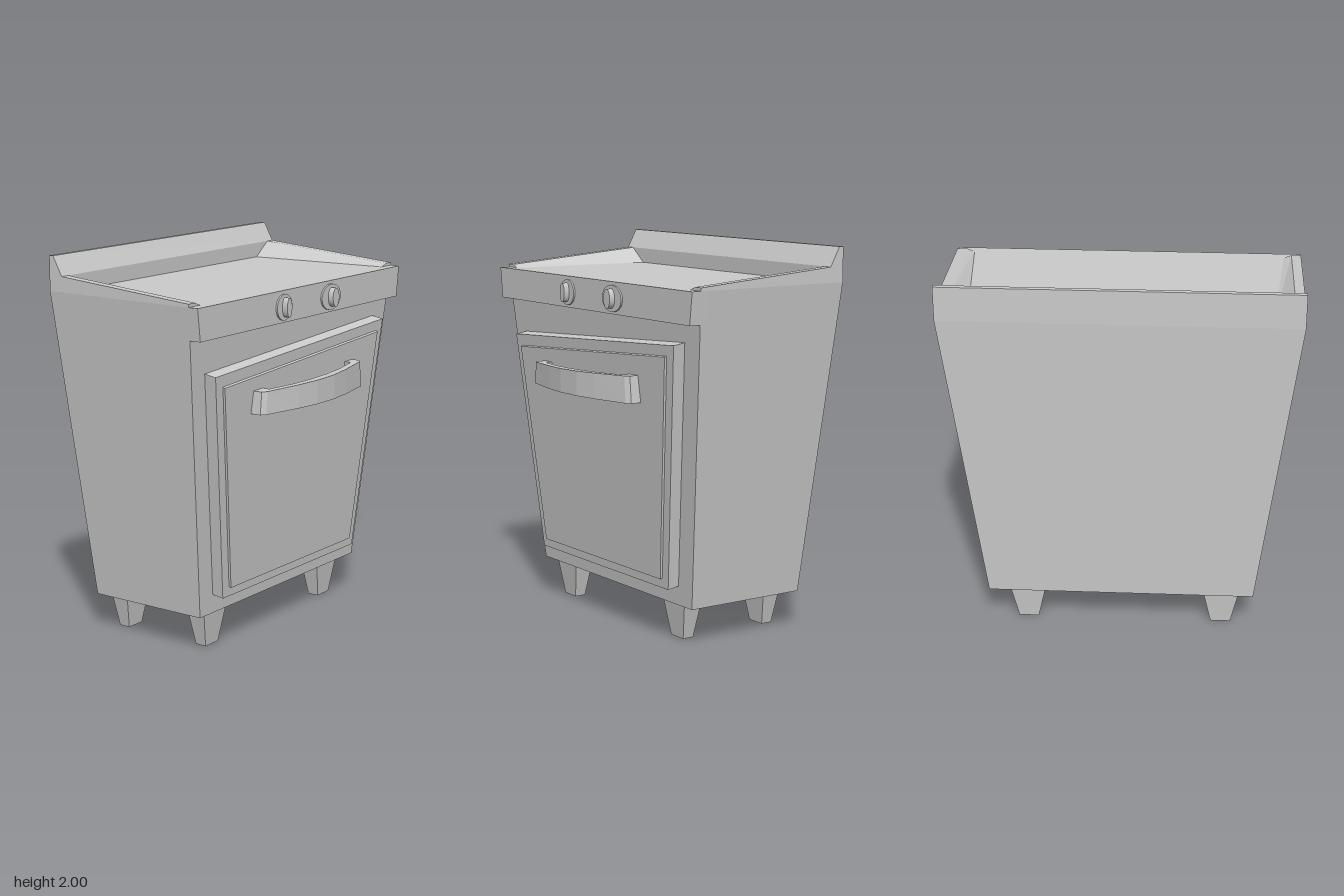
import * as THREE from 'three';

const grey = new THREE.MeshStandardMaterial({ color: 0xcccccc, flatShading: true });

// Solid between two matching outlines, each counterclockwise seen from the b side
function loft(a, b) {
  const pos = [], n = a.length;
  const tri = (...pts) => pts.forEach((p) => pos.push(...p));
  for (let i = 0; i < n; i++) {
    const j = (i + 1) % n;
    tri(a[i], a[j], b[j]);
    tri(a[i], b[j], b[i]);
  }
  for (let i = 1; i < n - 1; i++) {
    tri(a[0], a[i + 1], a[i]);
    tri(b[0], b[i], b[i + 1]);
  }
  const g = new THREE.BufferGeometry();
  g.setAttribute('position', new THREE.Float32BufferAttribute(pos, 3));
  g.computeVertexNormals();
  return g;
}

// Horizontal rectangle at height y
const rect = (y, x0, x1, z0, z1) => [[x0, y, z1], [x1, y, z1], [x1, y, z0], [x0, y, z0]];
const mirror = (pts) => pts.map(([x, y, z]) => [-x, y, z]).reverse();

export function createModel() {
  const model = new THREE.Group();
  model.name = 'oven';
  const add = (name, geometry) => {
    const mesh = new THREE.Mesh(geometry, grey);
    mesh.name = name;
    model.add(mesh);
    return mesh;
  };

  // Cabinet flaring upwards, with the control panel overhanging the front
  add('body', loft(rect(0.195, -0.705, 0.705, -0.43, 0.25), rect(1.82, -0.91, 0.91, -0.53, 0.35)));
  add('controlPanel', loft(rect(1.655, -0.89, 0.89, 0.3, 0.403), rect(1.82, -0.91, 0.91, 0.3, 0.403)));

  // Backsplash: vertical foot, then leaning back to a thin top edge
  const splash = [[-0.53, 1.82], [-0.45, 1.82], [-0.45, 1.9], [-0.505, 2], [-0.53, 2]];
  const section = (x) => splash.map(([z, y]) => [x, y, z]).reverse();
  add('backsplash', loft(section(-0.91), section(0.91)));

  // Side rims of the cooktop, lower towards the front
  const rim = (z, inner, top) => [[inner, 1.82, z], [0.91, 1.82, z], [0.91, top, z], [0.86, top, z]];
  const rimBack = rim(-0.45, 0.755, 1.9), rimFront = rim(0.35, 0.82, 1.836);
  add('leftRim', loft(rimBack, rimFront));
  add('rightRim', loft(mirror(rimBack), mirror(rimFront)));

  // Tapered feet
  for (const x of [-0.535, 0.5])
    for (const z of [0.164, -0.345])
      add('foot', loft(
        rect(0, x - 0.053, x + 0.053, z - 0.031, z + 0.031),
        rect(0.2, x - 0.096, x + 0.096, z - 0.054, z + 0.054)));

  // Skewed door leaning with the cabinet front, and its raised inner panel
  const doorZ = (y) => 0.302 + 0.0635 * y;
  const slab = (outline, back, front) => loft(
    outline.map(([x, y]) => [x, y + 0.012, doorZ(y) + back]),
    outline.map(([x, y]) => [x, y, doorZ(y) + front]));
  add('door', slab([[-0.606, 0.286], [0.597, 0.286], [0.754, 1.547], [-0.76, 1.462]], -0.075, 0));
  add('doorPanel', slab([[-0.558, 0.334], [0.55, 0.334], [0.69, 1.485], [-0.696, 1.4]], -0.02, 0.013));

  // Bowed handle
  const outline = new THREE.Shape([
    [-0.465, 0.38], [-0.385, 0.38], [-0.385, 0.44], [-0.22, 0.474], [-0.08, 0.488],
    [0.08, 0.488], [0.22, 0.474], [0.385, 0.44], [0.385, 0.38], [0.46, 0.38],
    [0.46, 0.45], [0.435, 0.468], [0.22, 0.513], [0.08, 0.532],
    [-0.08, 0.532], [-0.22, 0.513], [-0.44, 0.468], [-0.465, 0.45],
  ].map(([x, z]) => new THREE.Vector2(x, z)));
  const handle = new THREE.ExtrudeGeometry(outline, { depth: 0.13, bevelEnabled: false });
  handle.rotateX(Math.PI / 2).translate(0, 1.36, 0);
  const p = handle.attributes.position;
  for (let i = 0; i < p.count; i++) {
    if (p.getY(i) < 1.3) continue;
    p.setY(i, 1.357 + 0.024 * p.getX(i));
    p.setX(i, p.getX(i) * 0.973);
  }
  handle.computeVertexNormals();
  add('handle', handle);

  // Knobs: round plate with an oval grip
  const smooth = new THREE.MeshStandardMaterial({ color: 0xcccccc });
  const disc = (name, x, rx, ry, z0, z1) => {
    const g = new THREE.CylinderGeometry(1, 1, 1, 32).rotateX(Math.PI / 2);
    g.scale(rx, ry, z1 - z0).translate(x, 1.735, (z0 + z1) / 2);
    add(name, g).material = smooth;
  };
  for (const [x, rx, ry] of [[-0.2, 0.066, 0.067], [0.225, 0.088, 0.068]]) {
    disc('knobPlate', x, rx, ry, 0.39, 0.412);
    disc('knobGrip', x, rx / 3, 0.05, 0.4, 0.442);
  }
  return model;
}
